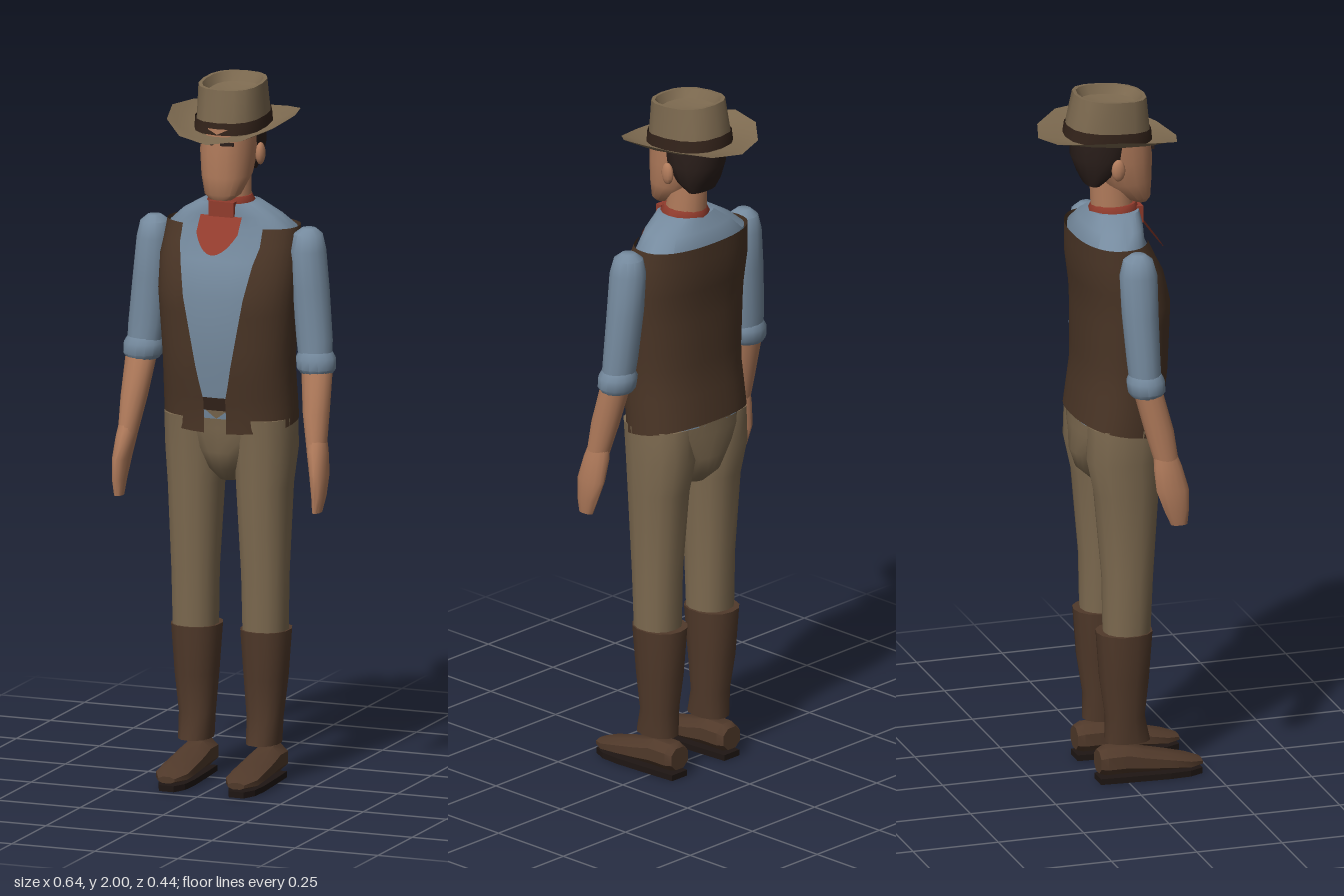
import * as THREE from 'three';
import { toCreasedNormals } from 'three/addons/utils/BufferGeometryUtils.js';

const mat = (name, color, side = THREE.FrontSide) => {
  const m = new THREE.MeshStandardMaterial({ color, side });
  m.name = name;
  return m;
};

// Grid surface from f(row, column); optionally wrapped and capped.
function grid(rows, cols, f, wrap = true, cap = false) {
  const pos = [], idx = [], w = wrap ? cols : cols + 1;
  for (let i = 0; i <= rows; i++) for (let j = 0; j < w; j++) pos.push(...f(i, j));
  for (let i = 0; i < rows; i++) for (let j = 0; j < cols; j++) {
    const k = (j + 1) % w, a = i * w + j, b = i * w + k;
    idx.push(a, b, b + w, a, b + w, a + w);
  }
  if (cap) for (const i of [0, rows]) {
    const c = [0, 0, 0], n = pos.length / 3;
    for (let j = 0; j < w; j++) for (let k = 0; k < 3; k++) c[k] += pos[(i * w + j) * 3 + k] / w;
    pos.push(...c);
    for (let j = 0; j < w; j++) {
      const a = i * w + j, b = i * w + (j + 1) % w;
      if (i) idx.push(n, a, b); else idx.push(n, b, a);
    }
  }
  const g = new THREE.BufferGeometry();
  g.setAttribute('position', new THREE.Float32BufferAttribute(pos, 3));
  g.setIndex(idx);
  return toCreasedNormals(g, 0.75);
}

const pw = (v, e) => Math.sign(v) * Math.abs(v) ** e;

// Loft through sections [x, y, z, radiusX, radiusZ]; tilt leans each ring along z.
function loft(secs, { n = 14, e = 1, tilt = 0, cap = true, phase = 0 } = {}) {
  return grid(secs.length - 1, n, (i, j) => {
    const [x, y, z, rx, rz] = secs[i], t = phase + j / n * Math.PI * 2;
    const pz = z + rz * pw(Math.cos(t), e);
    return [x + rx * pw(Math.sin(t), e), y + tilt * pz, pz];
  }, true, cap);
}

const TORSO = [
  [0, 1.05, -0.005, 0.183, 0.115], [0, 1.2, 0.015, 0.18, 0.115], [0, 1.4, 0.018, 0.193, 0.118],
  [0, 1.5, 0, 0.195, 0.112], [0, 1.585, -0.022, 0.185, 0.09],
];
const torsoAt = y => {
  let i = 0;
  while (i < TORSO.length - 2 && y > TORSO[i + 1][1]) i++;
  const a = TORSO[i], b = TORSO[i + 1];
  const k = THREE.MathUtils.clamp((y - a[1]) / (b[1] - a[1]), 0, 1);
  return a.map((v, q) => v + (b[q] - v) * k);
};

export function createModel() {
  const root = new THREE.Group();
  root.name = 'hatted man';
  const M = {
    tan: mat('tan cloth', 0x7d6a50, THREE.DoubleSide),
    shirt: mat('blue shirt', 0x758a9e),
    vest: mat('brown vest', 0x4a3526, THREE.DoubleSide),
    boot: mat('boot leather', 0x50392a),
    skin: mat('skin', 0xb27c5c),
    red: mat('red cloth', 0x923c2d, THREE.DoubleSide),
    hair: mat('dark hair', 0x2b1f1b),
    belt: mat('dark leather', 0x33231a, THREE.DoubleSide),
    sole: mat('sole', 0x1e1613),
  };
  const add = (name, geo, m, x = 0, y = 0, z = 0) => {
    const mesh = new THREE.Mesh(geo, m);
    mesh.name = name;
    mesh.position.set(x, y, z);
    root.add(mesh);
    return mesh;
  };

  // Torso, vest open at the front, belt and hips
  add('shirt', loft([...TORSO, [0, 1.62, -0.01, 0.145, 0.08], [0, 1.655, 0, 0.085, 0.067]],
    { n: 32, e: 0.85 }), M.shirt);
  const openAt = y => y < 1.11 ? 0.033 : y < 1.53 ? 0.035 + (y - 1.11) / 0.42 * 0.08 : 0.12;
  add('vest', grid(12, 32, (i, j) => {
    const v = i / 12, y0 = 1.01 + v * 0.58;
    const o = torsoAt(y0), t0 = Math.asin((openAt(y0) / (o[3] + 0.009)) ** (1 / 0.85));
    const t = t0 + (2 * Math.PI - 2 * t0) * j / 32;
    const y = y0 + (1 - v) * 0.045 * (1 - Math.cos(t)) / 2 * 1.1;
    const s = torsoAt(y);
    return [(s[3] + 0.009) * pw(Math.sin(t), 0.85), y, s[2] + (s[4] + 0.009) * pw(Math.cos(t), 0.85)];
  }, false), M.vest);
  add('belt', loft([1.075, 1.112].map(y => {
    const s = torsoAt(y);
    return [0, y, s[2], s[3] + 0.004, s[4] + 0.004];
  }), { n: 32, e: 0.85, cap: false }), M.belt);
  add('hips', loft([[0, 0.86, -0.015, 0.035, 0.05], [0, 0.9, -0.015, 0.07, 0.095],
    [0, 0.95, -0.013, 0.1, 0.112], [0, 1.02, -0.008, 0.176, 0.113], [0, 1.08, -0.003, 0.184, 0.118]],
    { n: 24, e: 0.9 }), M.tan);

  // Neck, head, hair
  add('neck', loft([[0, 1.6, 0, 0.058, 0.062], [0, 1.76, -0.012, 0.052, 0.058]]), M.skin);
  add('head', loft([[0, 1.67, 0.075, 0.032, 0.02], [0, 1.685, 0.062, 0.052, 0.042],
    [0, 1.735, 0.03, 0.069, 0.077], [0, 1.8, 0.015, 0.076, 0.094], [0, 1.875, 0.01, 0.077, 0.095]],
    { n: 18, e: 0.9 }), M.skin);
  add('hair', loft([[0, 1.735, -0.065, 0.05, 0.022], [0, 1.765, -0.053, 0.07, 0.05],
    [0, 1.815, -0.04, 0.081, 0.083], [0, 1.875, -0.035, 0.083, 0.088]], { n: 16, e: 0.9 }), M.hair);

  // Neckerchief
  add('neckerchiefBand', loft([[0, 1.63, 0, 0.062, 0.068], [0, 1.655, 0, 0.067, 0.071],
    [0, 1.672, 0, 0.058, 0.064]], { n: 16 }), M.red);
  add('neckerchiefKnot', new THREE.BoxGeometry(0.076, 0.05, 0.02), M.red, 0, 1.637, 0.066);
  const flap = new THREE.Shape();
  flap.moveTo(-0.062, 0);
  flap.lineTo(-0.062, -0.055);
  flap.quadraticCurveTo(-0.035, -0.12, 0, -0.122);
  flap.quadraticCurveTo(0.035, -0.12, 0.062, -0.055);
  flap.lineTo(0.062, 0);
  add('neckerchiefFlap', new THREE.ShapeGeometry(flap, 5), M.red, 0, 1.622, 0.074).rotation.x = -0.62;

  // Hat: upswept brim, creased crown, band
  add('hatBrim', grid(4, 12, (i, j) => {
    const s = i / 4, t = -j / 12 * Math.PI * 2;
    const x = (0.08 + s * 0.105) * Math.sin(t), z = -0.018 + (0.1 + s * 0.102) * Math.cos(t);
    return [x, 1.862 - 0.085 * z + 0.042 * s * s * Math.sin(t) ** 2, z];
  }), M.tan);
  add('hatCrown', loft([[0, 1.862, -0.018, 0.097, 0.12], [0, 1.91, -0.017, 0.094, 0.115],
    [0, 1.99, -0.012, 0.09, 0.102], [0, 1.99, -0.012, 0.08, 0.092], [0, 1.965, -0.012, 0.068, 0.078],
    [0, 1.957, -0.012, 0.03, 0.035]], { n: 16, e: 0.8, tilt: -0.08 }), M.tan);
  add('hatBand', loft([[0, 1.866, -0.018, 0.101, 0.124], [0, 1.9, -0.017, 0.099, 0.12]],
    { n: 16, e: 0.8, tilt: -0.08, cap: false }), M.belt);

  for (const s of [1, -1]) {
    const side = s > 0 ? 'left' : 'right';
    const limb = (name, secs, m, opt) =>
      add(side + name, loft(secs.map(([x, ...r]) => [x * s, ...r]), opt), m);

    // Face details
    add(side + 'Ear', new THREE.SphereGeometry(1, 10, 8), M.skin, s * 0.083, 1.79, -0.012)
      .scale.set(0.013, 0.032, 0.02);
    add(side + 'Eyebrow', new THREE.BoxGeometry(0.038, 0.009, 0.009), M.hair, s * 0.03, 1.834, 0.104)
      .rotation.y = s * 0.18;

    // Arm
    limb('Sleeve', [[0.26, 1.2, 0.012, 0.047, 0.045], [0.253, 1.28, 0.006, 0.052, 0.047],
      [0.24, 1.42, 0, 0.053, 0.052], [0.232, 1.53, -0.002, 0.05, 0.054],
      [0.231, 1.575, -0.003, 0.041, 0.042], [0.232, 1.592, -0.003, 0.02, 0.02]], M.shirt);
    limb('Cuff', [[0.262, 1.185, 0.012, 0.046, 0.044], [0.261, 1.198, 0.012, 0.056, 0.053],
      [0.259, 1.228, 0.01, 0.057, 0.054], [0.258, 1.246, 0.009, 0.047, 0.046]], M.shirt);
    limb('Forearm', [[0.284, 0.98, 0.066, 0.028, 0.034], [0.274, 1.08, 0.045, 0.038, 0.042],
      [0.264, 1.2, 0.014, 0.045, 0.042]], M.skin);
    limb('Hand', [[0.298, 0.806, 0.096, 0.012, 0.024], [0.3, 0.85, 0.088, 0.018, 0.036],
      [0.297, 0.91, 0.077, 0.024, 0.047], [0.287, 0.975, 0.066, 0.029, 0.041],
      [0.283, 1.01, 0.06, 0.027, 0.034]], M.skin);

    // Leg and boot shaft
    limb('TrouserLeg', [[0.105, 0.42, 0.004, 0.064, 0.066], [0.105, 0.6, 0.006, 0.067, 0.072],
      [0.103, 0.85, 0.003, 0.078, 0.092], [0.104, 0.95, -0.006, 0.086, 0.105],
      [0.104, 1.05, 0, 0.086, 0.108]], M.tan, { e: 0.9 });
    limb('BootShaft', [[0.102, 0.115, 0.008, 0.047, 0.065], [0.102, 0.19, 0, 0.051, 0.056],
      [0.104, 0.3, -0.003, 0.061, 0.07], [0.104, 0.44, -0.003, 0.071, 0.08]], M.boot, { e: 0.9 });

    // Shoe lofted heel to toe, on a separate flat sole
    const shoe = loft([[-0.08, -0.06, 0.036, 0.034], [-0.06, -0.062, 0.044, 0.042],
      [0, -0.063, 0.047, 0.042], [0.05, -0.055, 0.05, 0.035], [0.12, -0.046, 0.052, 0.027],
      [0.18, -0.038, 0.051, 0.019], [0.22, -0.033, 0.026, 0.01]]
      .map(([y, z, rx, rz]) => [s * 0.105, y, z, rx, rz]), { n: 8, e: 0.9, phase: Math.PI / 8 });
    add(side + 'Shoe', shoe.rotateX(Math.PI / 2), M.boot);
    const sole = new THREE.Shape([[-0.03, 0.08], [0.03, 0.08], [0.036, 0], [0.043, -0.12],
      [0.04, -0.18], [0.022, -0.22], [-0.022, -0.22], [-0.04, -0.18], [-0.043, -0.12], [-0.036, 0]]
      .map(p => new THREE.Vector2(...p)));
    add(side + 'Sole', new THREE.ExtrudeGeometry(sole, { depth: 0.017, bevelEnabled: false })
      .rotateX(-Math.PI / 2), M.sole, s * 0.105);
  }
  return root;
}
